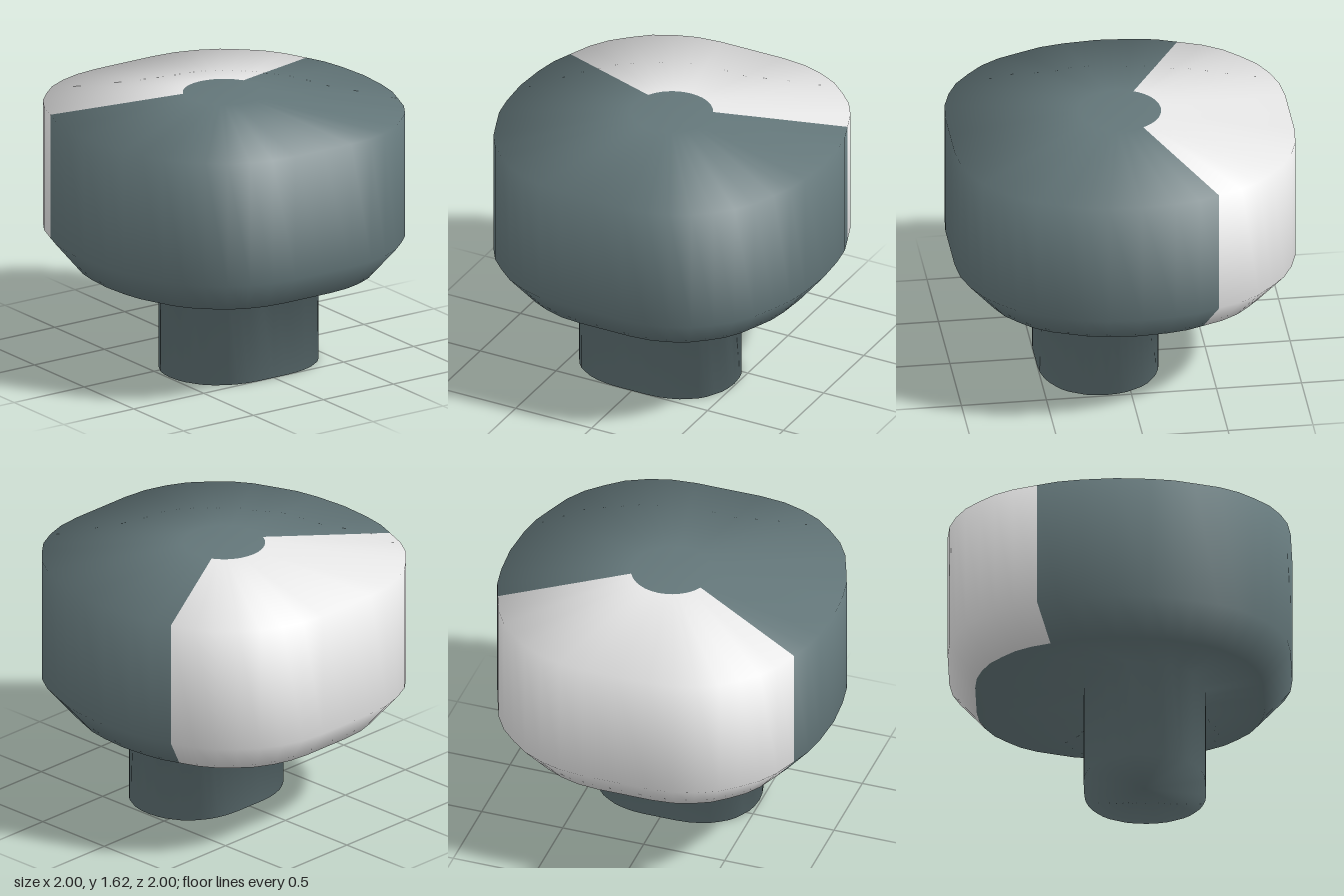
import * as THREE from 'three';

// Quarter of the rounded-square outline, from the front (+z) round to the left side (+x).
const QUARTER = [
  [0, 1], [0.2, 0.985], [0.34, 0.96], [0.46, 0.915], [0.6, 0.86], [0.71, 0.79],
  [0.8, 0.7], [0.885, 0.6], [0.945, 0.48], [0.985, 0.35], [1, 0.2], [1, 0],
];

// Mirror the quarter into the closed outline, counter-clockwise from above.
function makeOutline() {
  const half = [...QUARTER, ...QUARTER.slice(0, -1).reverse().map(([x, z]) => [x, -z])];
  return [...half, ...half.slice(1, -1).reverse().map(([x, z]) => [-x, z])];
}

export function createModel() {
  const slate = new THREE.MeshStandardMaterial({ color: 0x637679 });
  slate.name = 'slate';
  const white = new THREE.MeshStandardMaterial({ color: 0xeeeeee });
  white.name = 'white';

  const outline = makeOutline();
  const n = outline.length;

  // Cross-sections from top to bottom: height, half-width, half-depth, x offset.
  const rings = [
    { y: 1.62, sx: 0, sz: 0 },
    { y: 1.62, sx: 0.24, sz: 0.24, round: true },
    { y: 1.53, sx: 1, sz: 1 },
    { y: 0.775, sx: 1, sz: 1 },
    { y: 0.58, sx: 0.84, sz: 0.84 },
    { y: 0.58, sx: 0.355, sz: 0.49, dx: 0.145 },
    { y: 0, sx: 0.355, sz: 0.49, dx: 0.145 },
    { y: 0, sx: 0, sz: 0, dx: 0.145 },
  ];
  const positions = [];
  for (const { y, sx, sz, dx = 0, round } of rings) {
    for (const [x, z] of outline) {
      const k = round ? 1 / Math.hypot(x, z) : 1;
      positions.push(x * k * sx + dx, y, z * k * sz);
    }
  }

  // Sort the loft's faces into the parts.
  const parts = { knobBody: [], sidePanel: [], stem: [] };
  for (let r = 0; r < rings.length - 1; r++) {
    for (let i = 0; i < n; i++) {
      const j = (i + 1) % n;
      const midX = (outline[i][0] + outline[j][0]) / 2;
      const midZ = (outline[i][1] + outline[j][1]) / 2;
      const inPanel = r >= 1 && r <= 3 && midX < 0 && Math.abs(midZ) < 0.915;
      const part = r >= 5 ? parts.stem : inPanel ? parts.sidePanel : parts.knobBody;
      const a = r * n + i, b = r * n + j, c = a + n, d = b + n;
      if (rings[r + 1].sx > 0) part.push(a, c, d);
      if (rings[r].sx > 0) part.push(a, d, b);
    }
  }

  // Smooth normals run across the whole surface, so compute them before splitting.
  const whole = new THREE.BufferGeometry();
  whole.setAttribute('position', new THREE.Float32BufferAttribute(positions, 3));
  whole.setIndex(Object.values(parts).flat());
  whole.computeVertexNormals();

  const group = new THREE.Group();
  group.name = 'knob';
  for (const [name, index] of Object.entries(parts)) {
    whole.setIndex(index);
    const mesh = new THREE.Mesh(whole.toNonIndexed(), name === 'sidePanel' ? white : slate);
    mesh.name = name;
    group.add(mesh);
  }
  return group;
}
